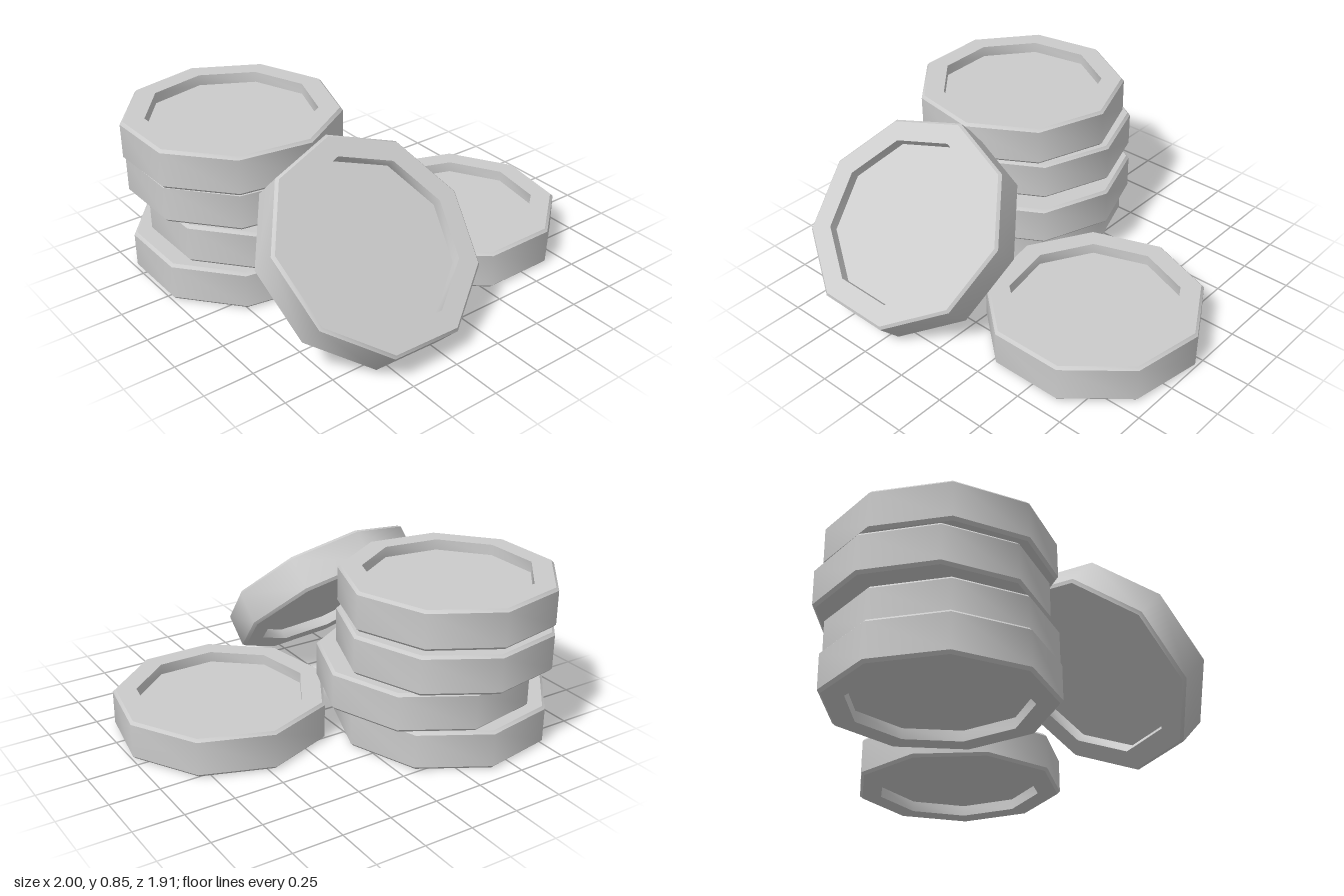
import * as THREE from 'three';
import { toCreasedNormals } from 'three/addons/utils/BufferGeometryUtils.js';

const SIDES = 9, R = 0.538, INNER = 0.42, H = 0.198, DEPTH = 0.055, BEVEL = 0.014;

// Nine-sided disc, bevelled at the edge and recessed on both faces
function discGeometry() {
  const h = H / 2, floor = h - DEPTH;
  const upper = [[R, h - BEVEL], [R - BEVEL, h], [INNER, h], [INNER, floor], [0, floor]];
  const lower = upper.map(([r, y]) => [r, -y]).reverse();
  const profile = [...lower, ...upper].map(([r, y]) => new THREE.Vector2(r, y));
  return toCreasedNormals(new THREE.LatheGeometry(profile, SIDES), THREE.MathUtils.degToRad(42));
}

export function createModel() {
  const group = new THREE.Group();
  group.name = 'coinPile';
  const geometry = discGeometry();
  const material = new THREE.MeshStandardMaterial({ color: 0xcccccc });

  function addCoin(name, x, y, z, yaw) {
    const coin = new THREE.Mesh(geometry, material);
    coin.name = name;
    coin.position.set(x, y, z);
    coin.rotation.y = THREE.MathUtils.degToRad(yaw);
    group.add(coin);
    return coin;
  }

  // Uneven stack, from the ground up: x, z, yaw
  [
    [-0.485, -0.39, 90],
    [-0.405, -0.35, 90],
    [-0.468, -0.43, 90],
    [-0.495, -0.40, 91],
  ].forEach(([x, z, yaw], i) => addCoin(`stackCoin${i + 1}`, x, H / 2 + i * 0.204, z, yaw));

  // Coin lying flat beside the stack
  addCoin('flatCoin', 0.466, H / 2, 0.153, 180);

  // Coin leaning against the front of the stack, one corner pointing uphill
  const leaning = addCoin('leaningCoin', -0.376, 0.419, 0.52, 0);
  const normal = new THREE.Vector3(0.062, 0.725, 0.686).normalize();
  const side = new THREE.Vector3().crossVectors(normal, new THREE.Vector3(0.02, 0.69, -0.72)).normalize();
  const uphill = new THREE.Vector3().crossVectors(side, normal);
  leaning.quaternion.setFromRotationMatrix(new THREE.Matrix4().makeBasis(side, normal, uphill));

  return group;
}
